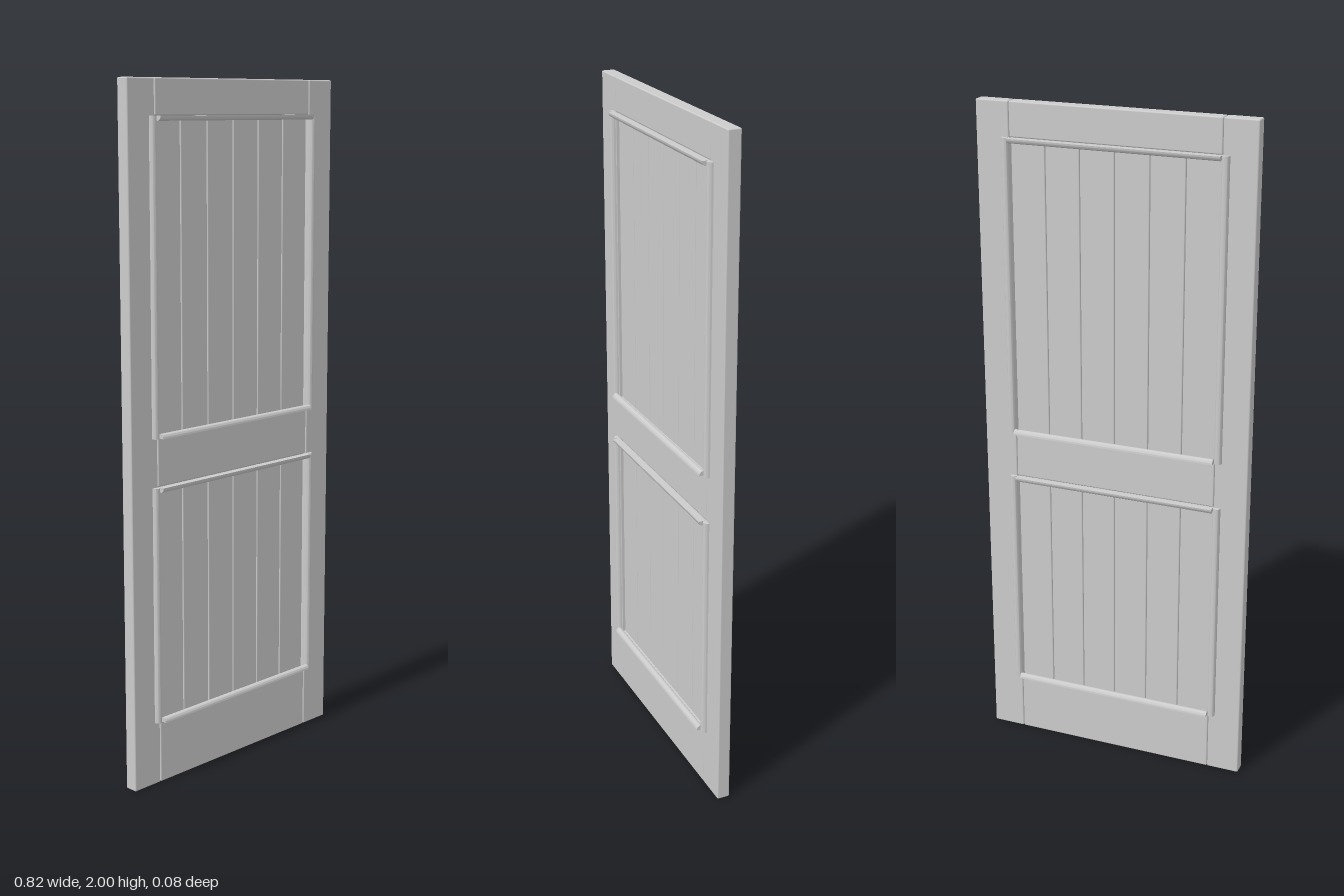
import * as THREE from 'three';
import { RoundedBoxGeometry } from 'three/addons/geometries/RoundedBoxGeometry.js';
import { toCreasedNormals } from 'three/addons/utils/BufferGeometryUtils.js';

const HALF_WIDTH = 0.41;
const INNER = 0.31;        // half width between the stiles
const THICK = 0.039;       // frame thickness
const PLANK_THICK = 0.02;
const BEAD_WIDTH = 0.022;
const BEAD_HEIGHT = 0.014;
const PLANKS = 6;

const material = new THREE.MeshStandardMaterial({ color: 0xcccccc, side: THREE.DoubleSide });

function add(group, name, geometry, x, y, z) {
  const mesh = new THREE.Mesh(geometry, material);
  mesh.name = name;
  mesh.position.set(x, y, z);
  group.add(mesh);
}

// softened board spanning x0..x1 and y0..y1, centred on z = 0
function addBoard(group, name, x0, x1, y0, y1, depth, radius) {
  const geometry = new RoundedBoxGeometry(x1 - x0, y1 - y0, depth, 2, radius);
  add(group, name, geometry, (x0 + x1) / 2, (y0 + y1) / 2, 0);
}

// half-round bead: flat side on y = 0, running along z, centred on its length
function beadGeometry(length) {
  const shape = new THREE.Shape();
  shape.moveTo(BEAD_WIDTH / 2, 0);
  shape.absellipse(0, 0, BEAD_WIDTH / 2, BEAD_HEIGHT, 0, Math.PI, false, 0);
  shape.closePath();
  const geometry = new THREE.ExtrudeGeometry(shape, { depth: length, bevelEnabled: false, curveSegments: 10 });
  geometry.translate(0, 0, -length / 2);
  return toCreasedNormals(geometry, 0.7);
}

// planks and bead moulding filling one opening of the frame
function createPanel(name, y0, y1) {
  const panel = new THREE.Group();
  panel.name = name;

  // vertical planks, slightly recessed, with fine gaps
  const pitch = (2 * INNER) / PLANKS;
  const gap = 0.0008;
  for (let i = 0; i < PLANKS; i++) {
    const x = -INNER + i * pitch;
    addBoard(panel, 'plank', x + gap, x + pitch - gap, y0 - 0.005, y1 + 0.005, PLANK_THICK, 0.003);
  }

  const midY = (y0 + y1) / 2;
  for (const face of [1, -1]) {
    // upright beads lying on the stiles
    for (const side of [1, -1]) {
      const upright = beadGeometry(y1 - y0).rotateX(face * Math.PI / 2);
      add(panel, 'uprightBead', upright, side * (INNER + BEAD_WIDTH / 2), midY, face * THICK / 2);
    }
    // cross beads standing out from the top and bottom of the opening
    const z = face * (THICK + BEAD_WIDTH) / 2;
    const lower = beadGeometry(2 * INNER).rotateY(Math.PI / 2);
    const upper = lower.clone().rotateX(Math.PI);
    add(panel, 'lowerBead', lower, 0, y0, z);
    add(panel, 'upperBead', upper, 0, y1, z);
  }
  return panel;
}

export function createModel() {
  const door = new THREE.Group();
  door.name = 'panelledDoor';

  // stiles
  const seam = 0.001;
  addBoard(door, 'leftStile', INNER + seam, HALF_WIDTH, 0, 2, THICK, 0.004);
  addBoard(door, 'rightStile', -HALF_WIDTH, -INNER - seam, 0, 2, THICK, 0.004);

  // rails
  const rails = [['bottomRail', 0, 0.187], ['middleRail', 0.88, 1.02], ['topRail', 1.9, 2]];
  for (const [name, y0, y1] of rails) {
    addBoard(door, name, -INNER, INNER, y0, y1, THICK, 0.004);
  }

  // panels
  door.add(createPanel('lowerPanel', 0.187, 0.88));
  door.add(createPanel('upperPanel', 1.02, 1.9));
  return door;
}
